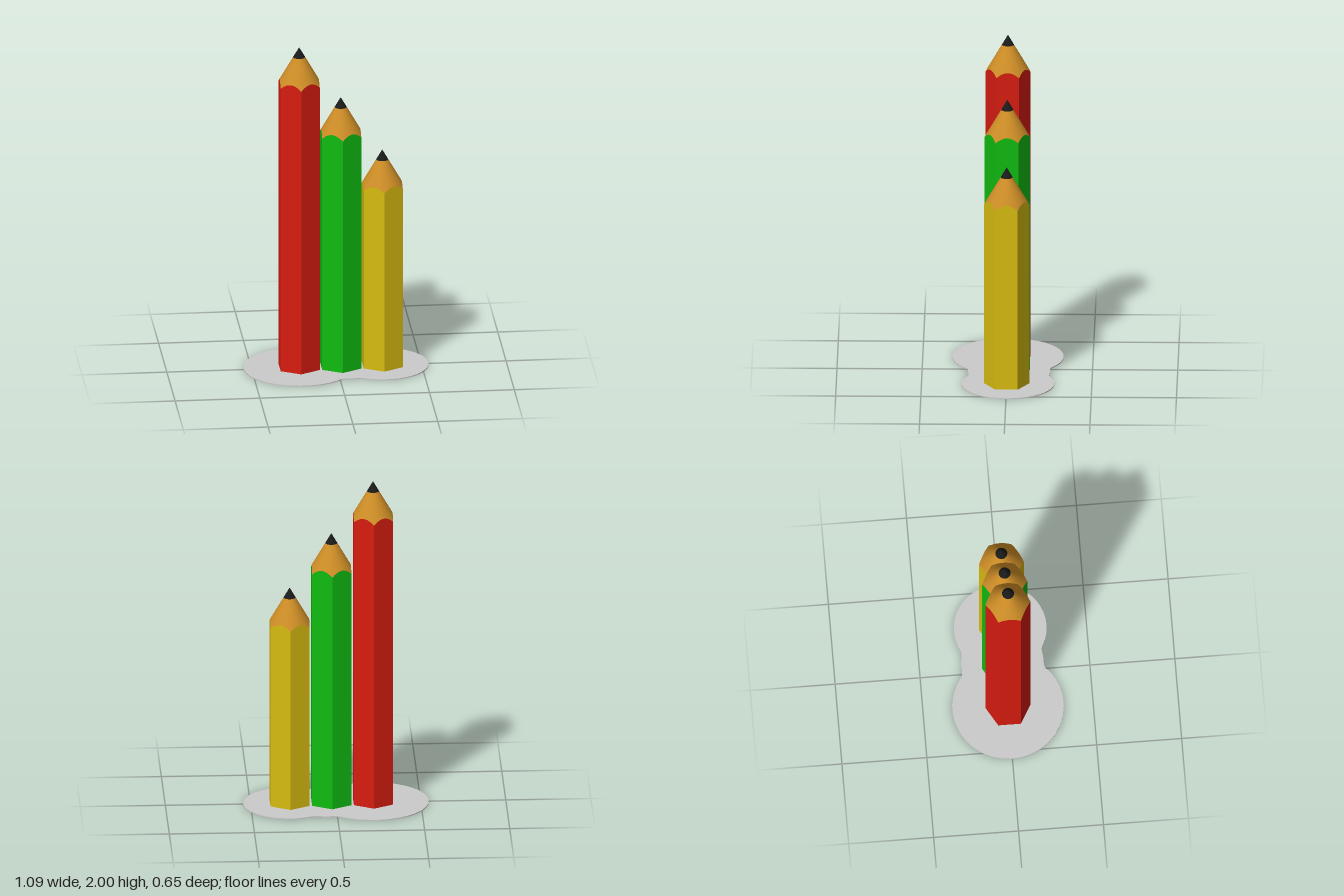
import * as THREE from 'three';

const R = 0.133;                          // hexagon corner radius
const APOTHEM = R * Math.cos(Math.PI / 6);
const SLOPE = 1.735;                      // sharpened cone: drop per unit radius
const LEAD_R = 0.035;
const STEPS = 12;                         // divisions per hexagon side
const BASE_H = 0.006;

const mat = (color) => new THREE.MeshStandardMaterial({ color, roughness: 0.8 });
const wood = mat(0xcc8c26);
const lead = mat(0x1a1a1a);

function part(name, geometry, material) {
  const mesh = new THREE.Mesh(geometry, material);
  mesh.name = name;
  return mesh;
}

// Skin between two closed rings of points, lower ring first
function skin(lower, upper) {
  const pts = [];
  const n = lower.length;
  for (let i = 0; i < n; i++) {
    const j = (i + 1) % n;
    pts.push(lower[i], upper[i], lower[j], lower[j], upper[i], upper[j]);
  }
  const geo = new THREE.BufferGeometry().setFromPoints(pts);
  geo.computeVertexNormals();
  return geo;
}

function createPencil(name, x, height, color) {
  const pencil = new THREE.Group();
  pencil.name = name;
  pencil.position.x = x;

  // The cone cuts the hexagonal shaft in a scalloped rim
  const foot = [], rim = [], neck = [];
  for (let side = 0; side < 6; side++) {
    for (let s = 0; s < STEPS; s++) {
      const local = (s / STEPS - 0.5) * Math.PI / 3;
      const r = APOTHEM / Math.cos(local);
      const a = (side + 0.5) * Math.PI / 3 + local + Math.PI / 6;
      const c = Math.cos(a), d = -Math.sin(a);
      foot.push(new THREE.Vector3(c * r, 0, d * r));
      rim.push(new THREE.Vector3(c * r, height - SLOPE * r, d * r));
      neck.push(new THREE.Vector3(c * LEAD_R, height - SLOPE * LEAD_R, d * LEAD_R));
    }
  }
  pencil.add(part('shaft', skin(rim, foot).clone(), mat(color)));
  const shaft = pencil.children[0];
  shaft.geometry = skin(foot, rim);
  orientOutward(shaft.geometry);

  // Sharpened wood, with smooth cone normals
  const cone = skin(rim, neck);
  orientOutward(cone);
  const p = cone.attributes.position, nrm = cone.attributes.normal;
  const v = new THREE.Vector3();
  for (let i = 0; i < p.count; i++) {
    v.set(p.getX(i), 0, p.getZ(i)).normalize().multiplyScalar(SLOPE);
    v.y = 1;
    v.normalize();
    nrm.setXYZ(i, v.x, v.y, v.z);
  }
  pencil.add(part('sharpenedWood', cone, wood));

  // Lead point
  const tipH = SLOPE * LEAD_R;
  const tip = part('leadTip', new THREE.ConeGeometry(LEAD_R, tipH, 6 * STEPS, 1, true), lead);
  tip.position.y = height - tipH / 2;
  pencil.add(tip);
  return pencil;
}

// Flip the winding of triangles that face the pencil axis
function orientOutward(geo) {
  const p = geo.attributes.position;
  const a = new THREE.Vector3(), b = new THREE.Vector3(), c = new THREE.Vector3();
  for (let i = 0; i < p.count; i += 3) {
    a.fromBufferAttribute(p, i);
    b.fromBufferAttribute(p, i + 1);
    c.fromBufferAttribute(p, i + 2);
    const n = b.clone().sub(a).cross(c.clone().sub(a));
    const mid = a.clone().add(b).add(c);
    if (n.x * mid.x + n.z * mid.z < 0) {
      p.setXYZ(i + 1, c.x, c.y, c.z);
      p.setXYZ(i + 2, b.x, b.y, b.z);
    }
  }
  geo.computeVertexNormals();
}

// Thin base: two discs joined by a shallow waist
function createBase() {
  const outline = [];
  const arc = (cx, cy, r, from, to, n) => {
    for (let i = 0; i <= n; i++) {
      const a = THREE.MathUtils.degToRad(from + (to - from) * i / n);
      outline.push(new THREE.Vector2(cx + r * Math.cos(a), cy + r * Math.sin(a)));
    }
  };
  const waist = (list) => list.forEach(([x, y]) => outline.push(new THREE.Vector2(x, y)));
  arc(-0.22, 0, 0.328, 52, 308, 24);
  waist([[0, -0.238], [0.02, -0.231], [0.06, -0.231], [0.12, -0.225], [0.14, -0.229]]);
  arc(0.27, 0.007, 0.273, -110, 110, 24);
  waist([[0.145, 0.25], [0.13, 0.246], [0.06, 0.254], [0.02, 0.251], [0, 0.252]]);
  const geo = new THREE.ExtrudeGeometry(new THREE.Shape(outline), { depth: BASE_H, bevelEnabled: false });
  geo.rotateX(-Math.PI / 2);
  return part('base', geo, mat(0xcccccc));
}

export function createModel() {
  const model = new THREE.Group();
  model.name = 'pencilStand';
  model.add(
    createBase(),
    createPencil('redPencil', -0.22, 2.0, 0xd81c10),
    createPencil('greenPencil', 0.025, 1.68, 0x10bc10),
    createPencil('yellowPencil', 0.27, 1.345, 0xd8bc10),
  );
  return model;
}
